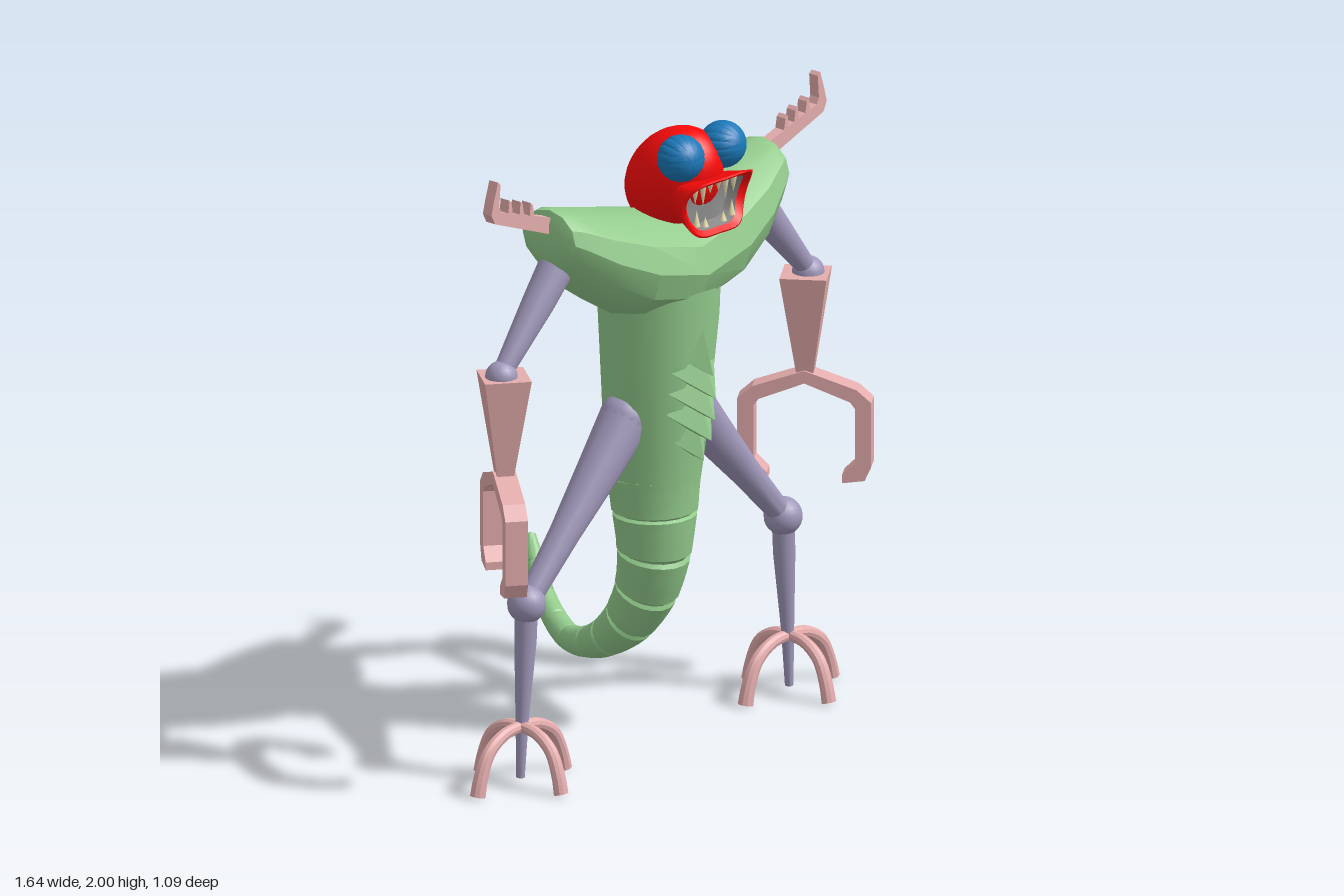
import * as THREE from 'three';
import { toCreasedNormals } from 'three/addons/utils/BufferGeometryUtils.js';
import { ConvexGeometry } from 'three/addons/geometries/ConvexGeometry.js';

const V = (x, y, z) => new THREE.Vector3(x, y, z);
const mat = (color) => new THREE.MeshStandardMaterial({ color });
const green = mat(0x93cb8c), lilac = mat(0xa098ba), pink = mat(0xe5adad);
const red = mat(0xff0a0a), blue = mat(0x1a78b8), grey = mat(0x8c8c8c), ivory = mat(0xe8e0b0);
const Z = 0.25; // depth of the shoulders, arms and legs

function add(parent, name, geometry, material, x = 0, y = 0, z = 0) {
  const mesh = new THREE.Mesh(geometry, material);
  mesh.name = name;
  mesh.position.set(x, y, z);
  parent.add(mesh);
  return mesh;
}

// Skin a list of rings that have equal point counts
function loft(rings, crease = 0.6, capStart = true, capEnd = true) {
  const n = rings[0].length, pts = rings.flat(), index = [];
  for (let i = 0; i < rings.length - 1; i++) {
    for (let j = 0; j < n; j++) {
      const a = i * n + j, b = i * n + (j + 1) % n;
      index.push(a, b, b + n, a, b + n, a + n);
    }
  }
  const cap = (ring, start, flip) => {
    const c = pts.length;
    pts.push(ring.reduce((s, p) => s.add(p), V(0, 0, 0)).divideScalar(n));
    for (let j = 0; j < n; j++) {
      const a = start + j, b = start + (j + 1) % n;
      index.push(c, ...(flip ? [b, a] : [a, b]));
    }
  };
  if (capStart) cap(rings[0], 0, true);
  if (capEnd) cap(rings.at(-1), (rings.length - 1) * n, false);
  const g = new THREE.BufferGeometry().setFromPoints(pts);
  g.setIndex(index);
  return toCreasedNormals(g, crease);
}

// Round tube through points with a radius at each
function sweep(pts, radii, sides = 16, ref = V(0, 0, 1), crease = 0.6) {
  return loft(pts.map((p, i) => {
    const t = pts[Math.min(i + 1, pts.length - 1)].clone().sub(pts[Math.max(i - 1, 0)]).normalize();
    const u = ref.clone().addScaledVector(t, -ref.dot(t)).normalize();
    const v = t.clone().cross(u);
    return Array.from({ length: sides }, (_, j) => {
      const a = j / sides * Math.PI * 2;
      return p.clone().addScaledVector(u, radii[i] * Math.cos(a)).addScaledVector(v, radii[i] * Math.sin(a));
    });
  }), crease);
}

// Flat plate from an outline, centred on its thickness
function plate(outline, depth) {
  const shape = new THREE.Shape(outline.map(([x, y]) => new THREE.Vector2(x, y)));
  return new THREE.ExtrudeGeometry(shape, { depth, bevelEnabled: false }).translate(0, 0, -depth / 2);
}

function buildBody(root) {
  // Chest: half-sections as [x, top, bottom, half depth]
  const half = [[0, 1.70, 1.37, 0.222], [0.2, 1.75, 1.41, 0.21], [0.34, 1.785, 1.495, 0.175],
    [0.44, 1.81, 1.59, 0.13], [0.475, 1.81, 1.625, 0.11], [0.49, 1.77, 1.66, 0.075]];
  const sections = [...half.slice(1).reverse().map(([x, ...r]) => [-x, ...r]), ...half];
  add(root, 'chest', loft(sections.map(([x, top, bottom, d]) => Array.from({ length: 12 }, (_, j) => {
    const a = j / 12 * Math.PI * 2;
    return V(x, (top + bottom) / 2 + (top - bottom) / 2 * Math.cos(a), 0.255 + d * Math.sin(a));
  })), 0.55), green);

  add(root, 'torso', sweep([V(0, 1.5, 0.267), V(0, 1.38, 0.265), V(0, 1.1, 0.255), V(0, 0.93, 0.247), V(0, 0.8, 0.247)],
    [0.19, 0.187, 0.167, 0.155, 0.138], 20, V(1, 0, 0)), green);

  // Overlapping chevron belly plates
  for (let i = 0; i < 5; i++) {
    const y = 0.935 + i * 0.07, s = 0.42 + i * 0.006, w = i === 4 ? 0.06 : i === 0 ? 0.075 : 0.098;
    const out = [0.035, 0.06, 0.068, 0.066, 0.05][i];
    add(root, 'bellyPlate', new ConvexGeometry([V(0, y + 0.17, s - 0.005), V(0, y, s + out), V(0, y + 0.01, s - 0.05),
      V(-w, y + w * 0.85, s - 0.035), V(w, y + w * 0.85, s - 0.035)]), green);
  }

  // Tail: each control point is a joint between two segments
  const joints = [[0, 0.86, 0.245, 0.146], [0, 0.73, 0.25, 0.13], [0, 0.6, 0.247, 0.113], [0.005, 0.47, 0.21, 0.098],
    [0.012, 0.36, 0.14, 0.082], [0.025, 0.275, 0.04, 0.064], [0.055, 0.22, -0.07, 0.05], [0.105, 0.19, -0.2, 0.041],
    [0.16, 0.205, -0.31, 0.038], [0.21, 0.255, -0.41, 0.035], [0.25, 0.33, -0.48, 0.03], [0.28, 0.405, -0.532, 0.016]];
  const curve = new THREE.CatmullRomCurve3(joints.map(([x, y, z]) => V(x, y, z)));
  const pts = [], radii = [], last = joints.length - 1;
  for (let i = 0; i < last; i++) {
    for (const [f, k] of [[0, 0.92], [0.06, 1.01], [0.35, 1.01], [0.65, 1.01], [0.94, 1.02]]) {
      pts.push(curve.getPoint((i + f) / last));
      radii.push(k * THREE.MathUtils.lerp(joints[i][3], joints[i + 1][3], f));
    }
  }
  pts.push(curve.getPoint(1));
  radii.push(0.006);
  add(root, 'tail', sweep(pts, radii, 18, V(1, 0, 0), 0.5), green);
}

function buildHead(root) {
  const head = new THREE.Group();
  head.name = 'head';
  root.add(head);
  const skull = add(head, 'skull', new THREE.SphereGeometry(1, 32, 20), red, 0, 1.82, 0.33);
  skull.scale.set(0.13, 0.19, 0.14);
  skull.rotation.x = Math.PI / 4;

  // Flared muzzle: rounded trapezoid rings whose front edge curls forward
  const outline = new THREE.CatmullRomCurve3([[0.147, 0.045], [0.125, 0.085], [0, 0.092], [-0.125, 0.085], [-0.147, 0.045],
    [-0.115, -0.065], [-0.085, -0.088], [0, -0.092], [0.085, -0.088], [0.115, -0.065]].map(([x, y]) => V(x, y, 0)), true);
  const ring = (scale, z, curl) => outline.getPoints(40).slice(0, 40).map((p) =>
    V(p.x * scale, 1.772 + p.y * scale, z + curl * (p.y / 0.09) ** 2 + curl * 0.3 * p.y / 0.09));
  add(head, 'muzzle', loft([ring(0.6, 0.36, 0), ring(0.74, 0.43, 0.005), ring(0.97, 0.485, 0.04), ring(1, 0.497, 0.035),
    ring(0.94, 0.502, 0.033), ring(0.8, 0.487, 0.03)], 0.8, true, false), red);
  add(head, 'mouthLining', loft([ring(0.8, 0.487, 0.03), ring(0.72, 0.452, 0.01)], 0.6, false, true), grey);

  // Teeth as [x, base y, length], pointing down when the length is positive
  for (const s of [-1, 1]) {
    for (const [x, y, len] of [[0.085, 1.835, 0.05], [0.05, 1.84, 0.07], [0.018, 1.84, 0.035], [0.078, 1.715, -0.05], [0.04, 1.705, -0.03]]) {
      const tooth = add(head, 'tooth', new THREE.ConeGeometry(0.011, Math.abs(len), 8), ivory, s * x, y - len / 2, 0.497);
      if (len > 0) tooth.rotation.x = Math.PI;
    }
    // Eye with grooves running to its front pole
    const eyeGeo = new THREE.SphereGeometry(0.073, 64, 20);
    const p = eyeGeo.attributes.position;
    for (let i = 0; i < p.count; i++) {
      const k = (i % 65) % 4 === 0 ? 0.96 : 1;
      p.setXYZ(i, p.getX(i) * k, p.getY(i), p.getZ(i) * k);
    }
    const eye = add(head, 'eye', toCreasedNormals(eyeGeo, 0.5), blue, s * 0.093, 1.925, 0.445);
    eye.rotation.set(Math.PI / 2 - 0.1, 0, s * -0.3);
  }
}

function buildSide(root, s) {
  const side = new THREE.Group();
  side.name = s > 0 ? 'leftLimbs' : 'rightLimbs';
  root.add(side);
  const ball = (name, x, y, r) => add(side, name, new THREE.SphereGeometry(r, 20, 14), lilac, s * x, y, Z);
  const limb = (name, list) => add(side, name, sweep(list.map(([x, y]) => V(s * x, y, Z)), list.map((l) => l[2])), lilac);

  // Barbed shoulder spike
  const spike = [[0.44, 1.72], [0.73, 1.83], [0.745, 1.86], [0.735, 1.9], [0.716, 1.96], [0.705, 1.95], [0.71, 1.88], [0.7, 1.86]];
  for (const x of [0.67, 0.62, 0.575]) {
    const y = 1.85 - (0.67 - x) * 0.33;
    spike.push([x, y], [x - 0.004, y + 0.04], [x - 0.014, y + 0.03], [x - 0.02, y - 0.005]);
  }
  spike.push([0.44, 1.775]);
  add(side, 'shoulderSpike', plate(spike.map(([x, y]) => [s * x, y]), 0.036), pink, 0, 0, Z);

  // Arm
  ball('shoulder', 0.445, 1.61, 0.055);
  limb('upperArm', [[0.445, 1.61, 0.056], [0.52, 1.52, 0.05], [0.68, 1.335, 0.03]]);
  ball('elbow', 0.682, 1.325, 0.05);
  const forearm = add(side, 'forearm', new THREE.CylinderGeometry(0.102, 0.036, 0.32, 4).toNonIndexed(), pink, s * 0.67, 1.165, Z);
  forearm.geometry.computeVertexNormals();
  forearm.rotation.y = s * (Math.PI / 4 - 0.94);

  // Two-pronged pincer, turned diagonally
  const prong = [[0.16, 0.965], [0.205, 0.925], [0.205, 0.72], [0.185, 0.675], [0.115, 0.665],
    [0.115, 0.69], [0.155, 0.73], [0.155, 0.905], [0.14, 0.925]];
  const claw = [[0, 1.02], ...prong, [0, 0.98], ...prong.map(([x, y]) => [-x, y]).reverse()];
  add(side, 'pincer', plate(claw, 0.07), pink, s * 0.67, 0, Z).rotation.y = s * -0.94;

  // Leg
  ball('hip', 0.13, 1.06, 0.08);
  limb('thigh', [[0.13, 1.06, 0.08], [0.25, 0.92, 0.067], [0.4, 0.755, 0.048], [0.57, 0.57, 0.035]]);
  ball('knee', 0.57, 0.57, 0.06);
  limb('shin', [[0.57, 0.57, 0.035], [0.575, 0.45, 0.034], [0.59, 0.2, 0.02], [0.597, 0.02, 0.013]]);

  // Four arched toes
  const arch = new THREE.CatmullRomCurve3([V(0, 0.18, 0), V(0.08, 0.168, 0), V(0.145, 0.125, 0), V(0.18, 0.05, 0), V(0.192, 0, 0)]);
  const path = arch.getPoints(14);
  const toe = sweep(path, path.map((_, i) => 0.018 + 0.006 * i / 14), 10);
  for (let i = 0; i < 4; i++) {
    const mesh = add(side, 'toe', toe, pink, s * 0.595, 0.004, Z);
    mesh.rotation.y = i * Math.PI / 2;
    if (i % 2) mesh.scale.x = 0.87;
  }
}

export function createModel() {
  const root = new THREE.Group();
  root.name = 'clawedCreature';
  buildBody(root);
  buildHead(root);
  for (const s of [-1, 1]) buildSide(root, s);
  return root;
}
